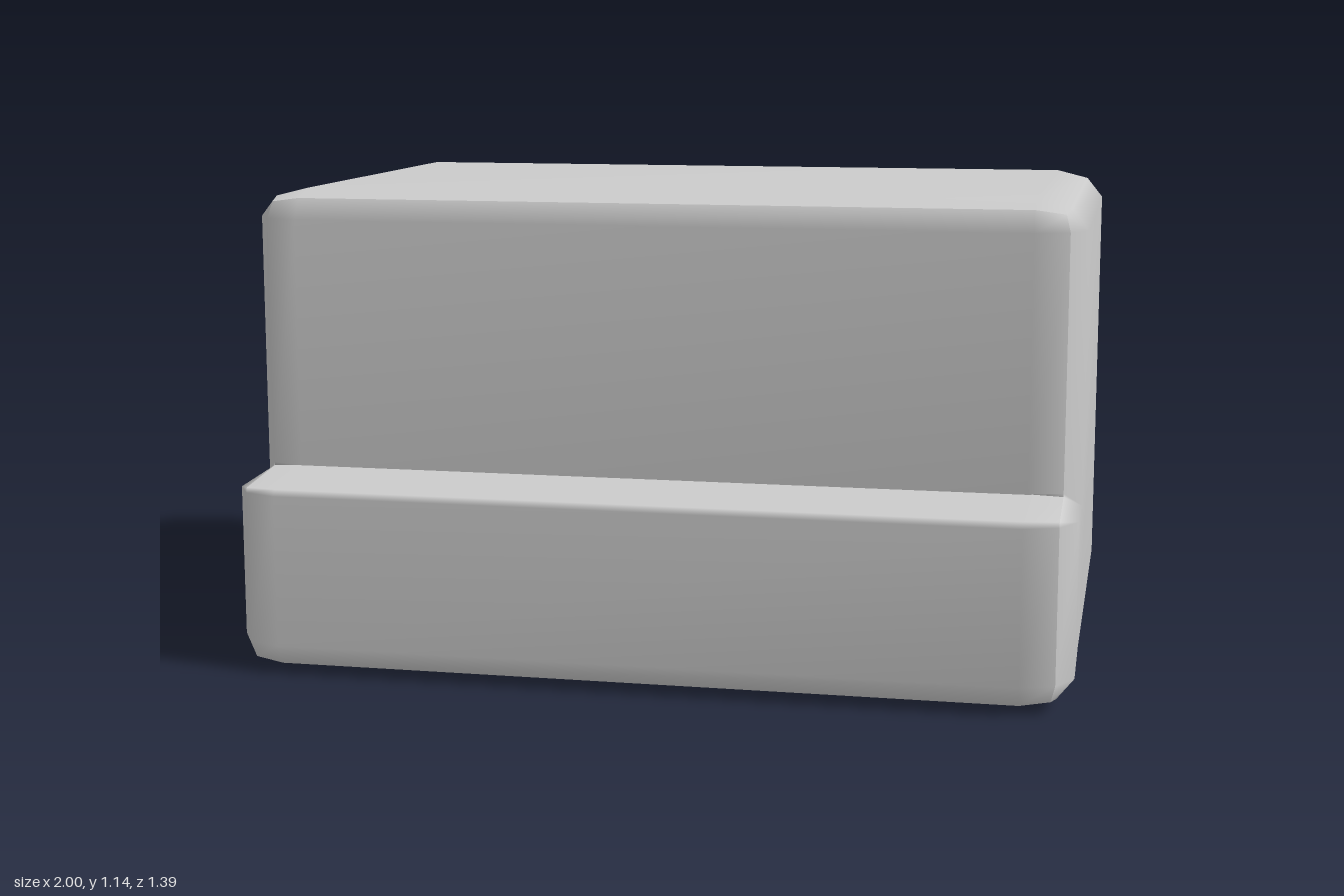
import * as THREE from 'three';
import { mergeVertices } from 'three/addons/utils/BufferGeometryUtils.js';

const material = new THREE.MeshStandardMaterial({ color: 0xcccccc });

// Corners of the flat middle of each end panel, as [z, y]
const FLAT = {
  A: [0.42, 1.08], B: [-0.6, 1.08], C: [-0.6, 0.1], D: [0.42, 0.1],
  E: [0.6, 0.075], F: [0.6, 0.44], G: [0.42, 0.44],
};

// Side outline: [z, y] along the middle, [z, y, x] at the end edge, nearest flat corner
const OUTLINE = [
  [0.485, 1.13, 0.475, 1.12, 0.95, 'A'],
  [0.42, 1.15, 0.42, 1.13, 0.96, 'A'],
  [-0.6, 1.15, -0.6, 1.13, 0.96, 'B'],
  [-0.665, 1.13, -0.655, 1.12, 0.95, 'B'],
  [-0.695, 1.08, -0.665, 1.08, 0.96, 'B'],
  [-0.695, 0.1, -0.665, 0.1, 0.96, 'C'],
  [-0.665, 0.05, -0.655, 0.06, 0.95, 'C'],
  [-0.6, 0.025, -0.6, 0.047, 0.96, 'C'],
  [0.42, 0.025, 0.42, 0.047, 0.96, 'D'],
  [0.6, 0.005, 0.6, 0.025, 0.96, 'E'],
  [0.67, 0.025, 0.66, 0.035, 0.95, 'E'],
  [0.7, 0.075, 0.67, 0.075, 0.96, 'E'],
  [0.7, 0.44, 0.67, 0.44, 0.96, 'F'],
  [0.69, 0.455, 0.665, 0.452, 0.96, 'F'],
  [0.485, 0.475, 0.485, 0.472, 0.96, 'G'],
  [0.515, 0.48, 0.485, 0.48, 0.96, 'G'],
  [0.515, 1.08, 0.485, 1.08, 0.96, 'A'],
];
const at = (i) => OUTLINE[i % OUTLINE.length];

// Smooth-shaded mesh from a list of polygons, each drawn as a fan
function panel(name, polygons) {
  const pos = [];
  for (const p of polygons) {
    for (let i = 1; i < p.length - 1; i++) pos.push(...p[0], ...p[i], ...p[i + 1]);
  }
  let geo = new THREE.BufferGeometry();
  geo.setAttribute('position', new THREE.Float32BufferAttribute(pos, 3));
  geo = mergeVertices(geo);
  geo.computeVertexNormals();
  const mesh = new THREE.Mesh(geo, material);
  mesh.name = name;
  return mesh;
}

// Four points across the width for one outline point
function row([z, y, ze, ye, xe]) {
  return [[-xe, ye, ze], [-0.88, y, z], [0.88, y, z], [xe, ye, ze]];
}

// Long panel covering the outline from one crease to the next
function longPanel(name, from, to) {
  const quads = [];
  for (let i = from; i < to; i++) {
    const a = row(at(i)), b = row(at(i + 1));
    for (let j = 0; j < 3; j++) quads.push([a[j], a[j + 1], b[j + 1], b[j]]);
  }
  return panel(name, quads);
}

// End panel: flat middle and a sloping rim; side is +1 (left) or -1 (right)
function endPanel(name, side) {
  const flat = (k) => [side, FLAT[k][1], FLAT[k][0]];
  const edge = ([, , z, y, x]) => [side * x, y, z];
  const polygons = ['BAGDC', 'GFED'].map((s) => [...s].map(flat));
  OUTLINE.forEach((p, i) => {
    const q = at(i + 1);
    polygons.push(p[5] === q[5]
      ? [edge(p), flat(p[5]), edge(q)]
      : [edge(p), flat(p[5]), flat(q[5]), edge(q)]);
  });
  if (side < 0) polygons.forEach((p) => p.reverse());
  return panel(name, polygons);
}

export function createModel() {
  const group = new THREE.Group();
  group.name = 'steppedBox';
  group.add(
    longPanel('top', 0, 3),
    longPanel('back', 3, 6),
    longPanel('underside', 6, 10),
    longPanel('frontStep', 10, 14),
    longPanel('upperFront', 14, 17),
    endPanel('leftEnd', 1),
    endPanel('rightEnd', -1),
  );
  return group;
}
